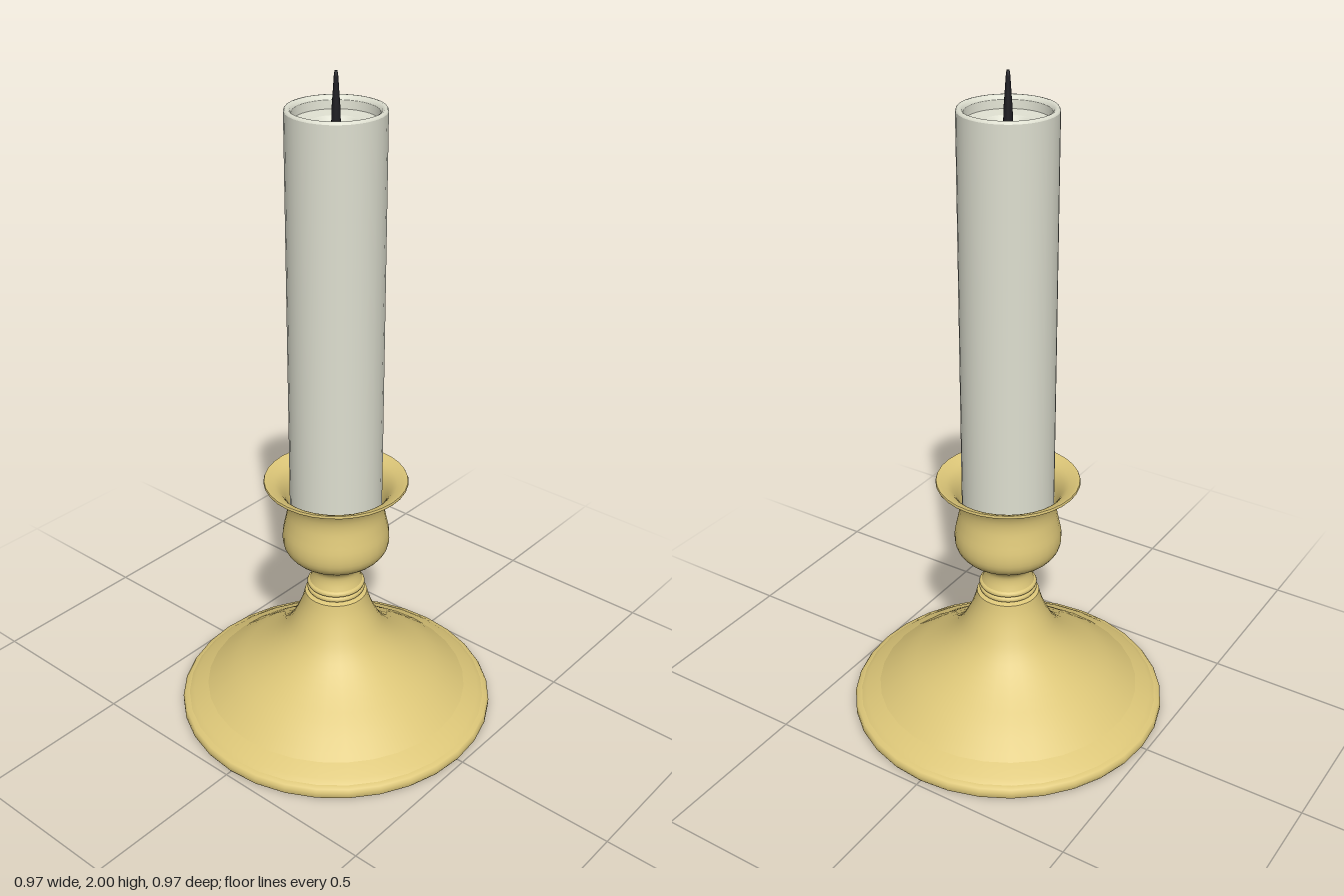
import * as THREE from 'three';

export function createModel() {
  const brass = new THREE.MeshStandardMaterial({ color: 0xdcc678 });
  brass.name = 'brass';
  const wax = new THREE.MeshStandardMaterial({ color: 0xdedfd0 });
  wax.name = 'wax';
  const charred = new THREE.MeshStandardMaterial({ color: 0x1e1d22 });
  charred.name = 'charred';

  const vectors = (points) => points.map(([r, y]) => new THREE.Vector2(r, y));

  // Each profile is one smooth band; separate bands meet at sharp edges.
  function turned(name, material, profiles, segments = 32) {
    const group = new THREE.Group();
    group.name = name;
    profiles.forEach((profile, i) => {
      const mesh = new THREE.Mesh(new THREE.LatheGeometry(profile, segments), material);
      mesh.name = `${name}Band${i + 1}`;
      group.add(mesh);
    });
    return group;
  }
  const curve = (points, n) => new THREE.SplineCurve(vectors(points)).getPoints(n);

  const model = new THREE.Group();
  model.name = 'candlestick';

  // Wide foot: flat underside, rolled edge and bell-shaped slope
  model.add(turned('foot', brass, [
    vectors([[0, 0], [0.48, 0]]),
    vectors([[0.48, 0], [0.485, 0.008], [0.485, 0.022], [0.479, 0.031], [0.465, 0.035]]),
    vectors([[0.465, 0.035], [0.45, 0.046], [0.405, 0.068]]),
    curve([[0.405, 0.068], [0.33, 0.125], [0.255, 0.175], [0.195, 0.222],
      [0.152, 0.27], [0.122, 0.325], [0.104, 0.37], [0.095, 0.405]], 18),
    vectors([[0.095, 0.405], [0.08, 0.41]]),
  ]));

  // Two thin beads around the neck
  const beads = [0.41, 0.428].map((y) =>
    vectors([[0.078, y], [0.085, y + 0.003], [0.088, y + 0.009], [0.085, y + 0.015], [0.078, y + 0.018]]));
  model.add(turned('neckBeads', brass, beads));

  // Neck flowing into the cup, flared lip, and hollow inside
  model.add(turned('cup', brass, [
    curve([[0.08, 0.446], [0.072, 0.47], [0.073, 0.495], [0.095, 0.52], [0.135, 0.545],
      [0.157, 0.575], [0.16, 0.615], [0.151, 0.66], [0.144, 0.7], [0.147, 0.735],
      [0.163, 0.765], [0.19, 0.78], [0.212, 0.787]], 36),
    vectors([[0.212, 0.787], [0.214, 0.791], [0.212, 0.796]]),
    curve([[0.212, 0.796], [0.198, 0.791], [0.172, 0.775], [0.152, 0.745], [0.138, 0.7]], 12),
    vectors([[0.138, 0.7], [0, 0.7]]),
  ]));

  // Candle with a raised rim and stepped melt hollow
  model.add(turned('candle', wax, [
    vectors([[0.137, 0.69], [0.137, 1.897]]),
    vectors([[0.137, 1.897], [0.134, 1.903], [0.128, 1.904], [0.121, 1.9], [0.117, 1.892]]),
    vectors([[0.117, 1.892], [0.115, 1.868]]),
    vectors([[0.115, 1.868], [0.07, 1.864]]),
    vectors([[0.07, 1.864], [0.064, 1.861], [0.06, 1.853], [0.052, 1.849]]),
    vectors([[0.052, 1.849], [0, 1.848]]),
  ]));

  // Tapered wick
  model.add(turned('wick', charred, [
    vectors([[0.013, 1.845], [0.012, 1.9], [0.009, 1.94], [0.006, 1.985]]),
    vectors([[0.006, 1.985], [0.004, 2], [0, 2]]),
  ], 12));

  return model;
}
